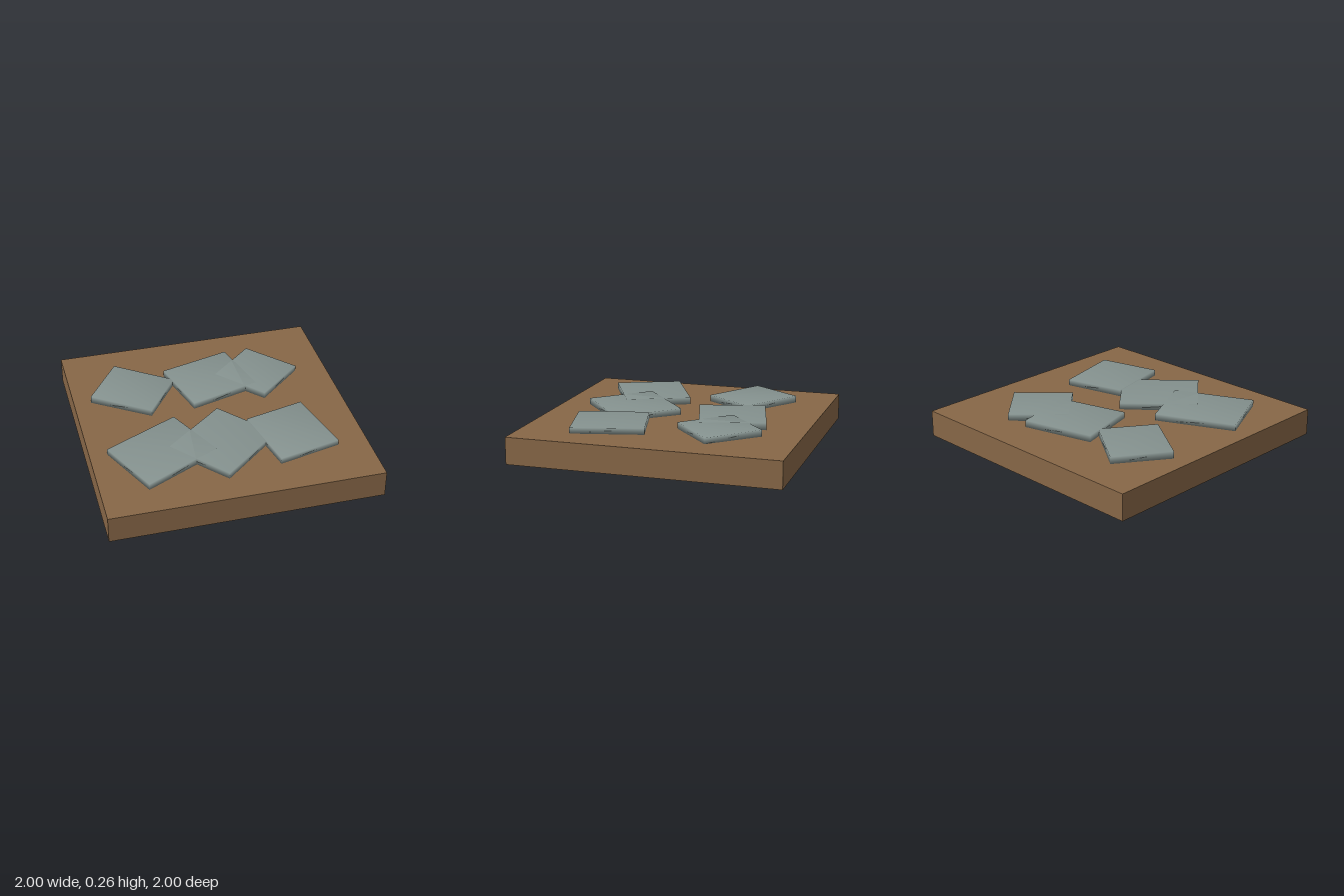
import * as THREE from 'three';

const earth = new THREE.MeshStandardMaterial({ color: 0x876747 });
earth.name = 'earth brown';
const slate = new THREE.MeshStandardMaterial({ color: 0x85928f });
slate.name = 'slate grey';

const GROUND = 0.2;

// Slab with shared corners, so its normals blend softly over the edges.
// Corners are [x, z, top height], clockwise seen from above.
function slab(corners) {
  const points = [];
  for (const [x, z] of corners) points.push(x, GROUND, z);
  for (const [x, z, top] of corners) points.push(x, top, z);
  const faces = [4, 6, 5, 4, 7, 6, 0, 1, 2, 0, 2, 3];
  for (let i = 0; i < 4; i++) {
    const j = (i + 1) % 4;
    faces.push(i, i + 4, j, j, i + 4, j + 4);
  }
  const geometry = new THREE.BufferGeometry();
  geometry.setAttribute('position', new THREE.Float32BufferAttribute(points, 3));
  geometry.setIndex(faces);
  geometry.computeVertexNormals();
  return geometry;
}

const stones = {
  backRightStone: [[-0.62, -0.73, 0.252], [-0.21, -0.44, 0.248], [-0.46, -0.08, 0.25], [-0.87, -0.36, 0.255]],
  backMiddleStone: [[-0.26, -0.57, 0.25], [0.27, -0.71, 0.253], [0.39, -0.24, 0.253], [-0.13, -0.09, 0.25]],
  backLeftStone: [[0.45, -0.72, 0.25], [0.76, -0.39, 0.244], [0.42, -0.09, 0.25], [0.12, -0.42, 0.256]],
  frontRightStone: [[-0.87, 0.3, 0.247], [-0.32, 0.04, 0.252], [-0.11, 0.49, 0.254], [-0.66, 0.765, 0.249]],
  frontMiddleStone: [[0.02, 0.01, 0.248], [0.36, 0.4, 0.24], [-0.09, 0.785, 0.248], [-0.43, 0.39, 0.256]],
  frontLeftStone: [[0.2, 0.2, 0.25], [0.65, 0.085, 0.246], [0.775, 0.605, 0.243], [0.31, 0.715, 0.247]],
};

export function createModel() {
  const model = new THREE.Group();
  model.name = 'steppingStoneTile';

  // Square block of ground
  const ground = new THREE.Mesh(new THREE.BoxGeometry(2, GROUND, 2), earth);
  ground.position.y = GROUND / 2;
  ground.name = 'ground';
  model.add(ground);

  // Scattered, slightly tilted paving stones
  for (const [name, corners] of Object.entries(stones)) {
    const stone = new THREE.Mesh(slab(corners), slate);
    stone.name = name;
    model.add(stone);
  }
  return model;
}
